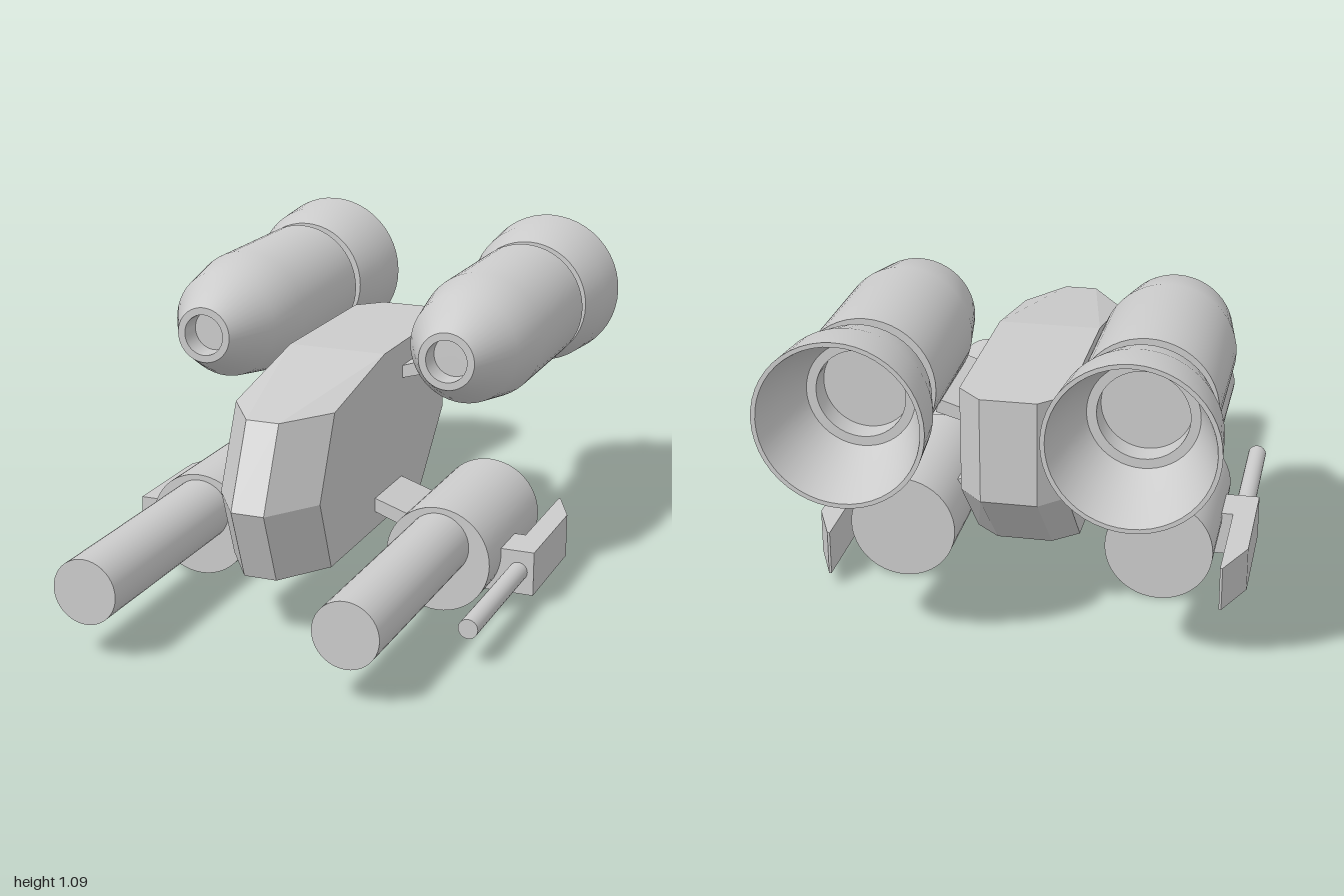
import * as THREE from 'three';
import { toCreasedNormals } from 'three/addons/utils/BufferGeometryUtils.js';
import { ConvexGeometry } from 'three/addons/geometries/ConvexGeometry.js';

const material = new THREE.MeshStandardMaterial({ color: 0xcccccc });

function add(parent, name, geometry, x = 0, y = 0, z = 0) {
  const mesh = new THREE.Mesh(geometry, material);
  mesh.name = name;
  mesh.position.set(x, y, z);
  parent.add(mesh);
  return mesh;
}

// Cylinder lying along z, between z0 and z1
function rod(radius, z0, z1, segments = 40) {
  return new THREE.CylinderGeometry(radius, radius, z1 - z0, segments)
    .rotateX(Math.PI / 2).translate(0, 0, (z0 + z1) / 2);
}

function extrude(points, depth) {
  const shape = new THREE.Shape(points.map(([x, y]) => new THREE.Vector2(x, y)));
  return new THREE.ExtrudeGeometry(shape, { depth, bevelEnabled: false });
}

// Faceted hull with a bevelled nose and tail
function hullGeometry() {
  const corners = [
    // half width, y, z
    [0.055, 0.72, 0.62], [0.17, 0.72, 0.45],
    [0.055, 0.455, 0.74], [0.17, 0.455, 0.57],
    [0.055, 0.215, 0.65], [0.17, 0.215, 0.48],
    [0.17, 0.8, 0.02], [0.17, 0.8, -0.565], [0.09, 0.8, -0.645],
    [0.17, 0.455, -0.565], [0.09, 0.455, -0.645],
    [0.17, 0.215, -0.335], [0.09, 0.215, -0.405],
  ];
  const points = [];
  for (const [x, y, z] of corners)
    for (const side of [-1, 1]) points.push(new THREE.Vector3(side * x, y, z));
  return new ConvexGeometry(points);
}

// Thruster turned about z: nozzle interior, bell, neck, casing, nose intake
function thrusterGeometry() {
  const profile = [
    [0, -0.67], [0.14, -0.67], [0.14, -0.75], [0.17, -0.75], [0.21, -0.86], [0.248, -1],
    [0.262, -1], [0.25, -0.85], [0.215, -0.725], [0.18, -0.725],
    [0.18, -0.68], [0.216, -0.68], [0.216, -0.2], [0.185, -0.02],
    [0.095, 0.15], [0.07, 0.15], [0.07, 0.07], [0, 0.07],
  ].map(([r, z]) => new THREE.Vector2(r, z));
  const geometry = new THREE.LatheGeometry(profile, 48).rotateX(Math.PI / 2);
  return toCreasedNormals(geometry, 0.5);
}

export function createModel() {
  const model = new THREE.Group();
  model.name = 'spacecraft';
  add(model, 'hull', hullGeometry());

  for (const side of [1, -1]) {
    const label = side > 0 ? 'left' : 'right';
    const mirror = (points) => points.map(([x, y]) => [side * x, y]);

    // Upper thruster and its pylon
    add(model, label + 'Thruster', thrusterGeometry(), side * 0.43, 0.835);
    const upperArm = [[0.15, 0.668], [0.255, 0.697], [0.245, 0.741], [0.15, 0.71]];
    add(model, label + 'ThrusterPylon', extrude(mirror(upperArm), 0.38), 0, 0, -0.53);

    // Lower cannon, its barrel and pylon
    const cannon = new THREE.Group();
    cannon.name = label + 'Cannon';
    model.add(cannon);
    add(cannon, 'cannonHousing', rod(0.178, -0.335, 0.205, 48), side * 0.43, 0.181);
    add(cannon, 'cannonBarrel', rod(0.107, 0.15, 1), side * 0.43, 0.233);
    const lowerArm = [[0.15, 0.282], [0.29, 0.23], [0.3, 0.278], [0.15, 0.328]];
    add(cannon, 'cannonPylon', extrude(mirror(lowerArm), 0.25), 0, 0, -0.15);

    // Outer pod with a swept rear fin, drawn in plan as (x, -z)
    const pod = [
      [0.5, -0.08], [0.72, -0.08], [0.72, 0.31], [0.653, 0.46],
      [0.645, 0.46], [0.645, 0.07], [0.5, 0.07],
    ];
    add(cannon, 'sidePod', extrude(mirror(pod), 0.15).rotateX(-Math.PI / 2), 0, 0.05);
    add(cannon, 'sideGun', rod(0.032, 0.05, 0.59, 24), side * 0.667, 0.128);
  }
  return model;
}
